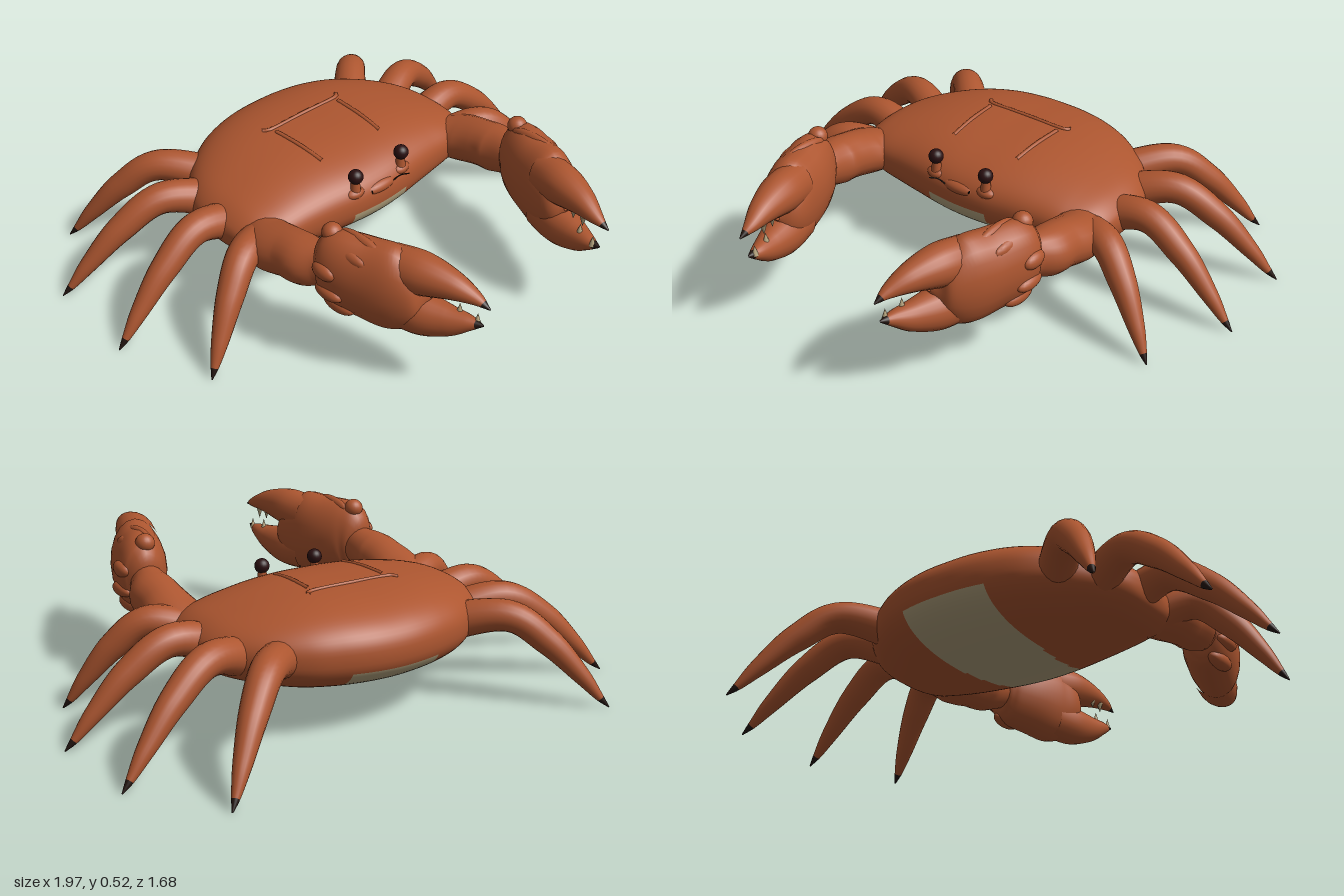
import * as THREE from 'three';

const V = (x, y, z) => new THREE.Vector3(x, y, z);
const spline = (pts) => new THREE.CatmullRomCurve3(pts, false, 'catmullrom', 0.5);
const material = (name, color) => Object.assign(new THREE.MeshStandardMaterial({ color }), { name });

// Joins closed rings of points into one smooth skin; pick(i, j) chooses the second colour.
function skin(rings, pick) {
  const n = rings[0].length;
  const faces = [[], []];
  for (let i = 0; i < rings.length - 1; i++) {
    for (let j = 0; j < n; j++) {
      const k = (j + 1) % n;
      const a = i * n + j, b = (i + 1) * n + j, c = i * n + k, d = (i + 1) * n + k;
      faces[pick(i, j) ? 1 : 0].push(a, b, c, b, d, c);
    }
  }
  const geo = new THREE.BufferGeometry().setFromPoints(rings.flat());
  geo.setIndex([...faces[0], ...faces[1]]);
  geo.addGroup(0, faces[0].length, 0);
  if (faces[1].length) geo.addGroup(faces[0].length, faces[1].length, 1);
  geo.computeVertexNormals();
  return geo;
}

// Lofts elliptical sections [x, y, z, halfWidth, halfHeight] along a smooth path.
function loft(stations, darkFrom = 2, steps = 40, sides = 20) {
  const path = spline(stations.map((s) => V(s[0], s[1], s[2])));
  const size = spline(stations.map((s) => V(s[3], s[4], 0)));
  const rings = [];
  for (let i = 0; i <= steps; i++) {
    const t = i / steps;
    const c = path.getPoint(t), r = size.getPoint(t), dir = path.getTangent(t);
    const right = V(0, 1, 0).cross(dir).negate().normalize();
    const up = right.clone().cross(dir);
    rings.push(Array.from({ length: sides }, (_, j) => {
      const a = (j / sides) * Math.PI * 2;
      return c.clone()
        .addScaledVector(right, Math.cos(a) * Math.max(r.x, 0.001))
        .addScaledVector(up, Math.sin(a) * Math.max(r.y, 0.001));
    }));
  }
  return skin(rings, (i) => (i + 0.5) / steps > darkFrom);
}

// Carapace half outline: x, front z, back z, top y, bottom y
const HALF = [
  [0, 0.08, -0.65, 0.45, 0.14], [0.1, 0.075, -0.643, 0.45, 0.142],
  [0.2, 0.06, -0.62, 0.445, 0.147], [0.3, 0.045, -0.58, 0.43, 0.158],
  [0.4, 0.03, -0.51, 0.405, 0.178], [0.48, 0.0, -0.42, 0.375, 0.2],
  [0.53, -0.06, -0.33, 0.335, 0.235], [0.55, -0.18, -0.2, 0.292, 0.284],
];
const OUTLINE = [...HALF.slice(1).reverse().map(([x, ...r]) => [-x, ...r]), ...HALF];
const plan = spline(OUTLINE.map((o) => V(o[0], o[1], o[2])));
const rise = spline(OUTLINE.map((o) => V(o[3], o[4], 0)));
const POWER = 2.4;

function bodySection(t) {
  const p = plan.getPoint(t), h = rise.getPoint(t);
  return { x: p.x, zc: (p.y + p.z) / 2, a: (p.y - p.z) / 2, yc: (h.x + h.y) / 2, b: (h.x - h.y) / 2 };
}

// Height of the carapace top near its middle
function topY(x, z) {
  const s = bodySection((7 + x / 0.1) / 14);
  const u = Math.min(1, Math.abs((z - s.zc) / s.a));
  return s.yc + s.b * Math.pow(1 - Math.pow(u, POWER), 1 / POWER);
}

function bodyGeometry() {
  const steps = 140, sides = 72, rings = [];
  const round = (v) => Math.sign(v) * Math.pow(Math.abs(v), 2 / POWER);
  for (let i = 0; i <= steps; i++) {
    const s = bodySection(i / steps);
    rings.push(Array.from({ length: sides }, (_, j) => {
      const a = (j / sides) * Math.PI * 2;
      return V(s.x, s.yc + s.b * round(Math.sin(a)), s.zc + s.a * round(Math.cos(a)));
    }));
  }
  // Pale belly strip, wider toward the back and wrapping up both ends
  return skin(rings, (i, j) => {
    const p = rings[i][j].clone().add(rings[i + 1][(j + 1) % sides]).multiplyScalar(0.5);
    const back = THREE.MathUtils.clamp((0.05 - p.z) / 0.4, 0, 1);
    return Math.abs(p.x) < 0.125 + 0.05 * back && p.y < 0.275 - 0.025 * back;
  });
}

export function createModel() {
  const shell = material('shell orange', 0xad5630);
  const cream = material('belly cream', 0xb5a47f);
  const dark = material('tip dark', 0x22140f);
  const eyeMat = material('eye dark red', 0x2a0f10);
  const crab = new THREE.Group();
  crab.name = 'crab';

  const add = (name, geo, mat, parent = crab) => {
    const mesh = new THREE.Mesh(geo, mat);
    mesh.name = name;
    parent.add(mesh);
    return mesh;
  };
  const ball = (name, mat, parent, pos, radii) => {
    const m = add(name, new THREE.SphereGeometry(1, 20, 14), mat, parent);
    m.position.set(...pos);
    m.scale.set(...radii);
    return m;
  };
  // Low ridge lying on the carapace, given as [x, z] points
  const ridge = (name, pts) => add(name, new THREE.TubeGeometry(
    spline(pts.map(([x, z]) => V(x, topY(x, z) - 0.001, z))), 24, 0.008, 8), shell);

  add('body', bodyGeometry(), [shell, cream]);
  ridge('shellCrossRidge', [[-0.18, -0.365], [-0.15, -0.345], [0, -0.345], [0.15, -0.345], [0.18, -0.365]]);
  ball('mouthLip', shell, crab, [0, 0.335, 0.055], [0.075, 0.024, 0.028]);

  // Walking legs, front to back: base, knee, tip
  const LEGS = [
    [[0.42, 0.27, -0.07], [0.58, 0.315, 0.005], [0.85, 0.01, 0.14]],
    [[0.42, 0.27, -0.20], [0.61, 0.32, -0.21], [0.985, 0.01, -0.19]],
    [[0.40, 0.27, -0.35], [0.59, 0.32, -0.43], [0.96, 0.01, -0.56]],
    [[0.30, 0.27, -0.42], [0.47, 0.32, -0.595], [0.74, 0.01, -0.84]],
  ];

  for (const s of [1, -1]) {
    const side = s > 0 ? 'left' : 'right';
    const flip = (st) => st.map(([x, ...r]) => [s * x, ...r]);
    ridge(side + 'ShellRidge', [[s * 0.15, -0.32], [s * 0.145, -0.2], [s * 0.14, -0.09]]);

    LEGS.forEach(([base, knee, tip], i) => {
      const k = V(...knee), e = V(...tip);
      const at = (t, lift, r) => {
        const p = k.clone().lerp(e, t);
        return [p.x, p.y + lift, p.z, r, r];
      };
      const stations = [[...base, 0.07, 0.07], [...knee, 0.058, 0.055],
        at(0.4, 0.04, 0.048), at(0.72, 0.025, 0.031), at(0.9, 0.006, 0.015), at(1, 0, 0.002)];
      add(`${side}Leg${i + 1}`, loft(flip(stations), 0.82), [shell, dark]);
    });

    // Claw: arm, palm and two fingers
    const claw = new THREE.Group();
    claw.name = side + 'Claw';
    crab.add(claw);
    const part = (name, stations, from) => add(name, loft(flip(stations), from), [shell, dark], claw);
    part('arm', [[0.40, 0.28, -0.12, 0.07, 0.06], [0.465, 0.30, 0.01, 0.1, 0.08],
      [0.47, 0.325, 0.12, 0.088, 0.085], [0.468, 0.335, 0.19, 0.088, 0.086],
      [0.455, 0.35, 0.26, 0.065, 0.075], [0.45, 0.36, 0.33, 0.05, 0.06]]);
    part('palm', [[0.46, 0.37, 0.25, 0.02, 0.03], [0.455, 0.375, 0.28, 0.068, 0.11],
      [0.445, 0.375, 0.33, 0.09, 0.142], [0.41, 0.365, 0.42, 0.1, 0.153],
      [0.375, 0.36, 0.52, 0.094, 0.16], [0.34, 0.365, 0.595, 0.07, 0.1],
      [0.33, 0.37, 0.63, 0.01, 0.01]]);
    part('upperFinger', [[0.365, 0.43, 0.5, 0.07, 0.08], [0.34, 0.445, 0.6, 0.07, 0.072],
      [0.315, 0.445, 0.7, 0.05, 0.049], [0.295, 0.43, 0.78, 0.026, 0.024],
      [0.288, 0.412, 0.84, 0.002, 0.002]], 0.87);
    part('lowerFinger', [[0.365, 0.29, 0.5, 0.07, 0.08], [0.34, 0.285, 0.6, 0.07, 0.076],
      [0.315, 0.295, 0.69, 0.05, 0.055], [0.295, 0.315, 0.76, 0.028, 0.028],
      [0.285, 0.33, 0.815, 0.002, 0.002]], 0.87);

    // Knobs and ridges on the palm: x, y, z, then radii
    [[0.445, 0.495, 0.295, 0.035, 0.034, 0.035], [0.415, 0.49, 0.4, 0.022, 0.034, 0.1],
      [0.465, 0.465, 0.38, 0.025, 0.03, 0.09], [0.52, 0.40, 0.335, 0.026, 0.03, 0.05],
      [0.515, 0.32, 0.35, 0.026, 0.026, 0.06], [0.48, 0.26, 0.36, 0.03, 0.03, 0.07],
    ].forEach(([x, y, z, ...r]) => ball('palmKnob', shell, claw, [s * x, y, z], r));

    // Teeth: x, y, z, direction
    [[0.285, 0.395, 0.735, -1], [0.295, 0.352, 0.72, 1], [0.282, 0.342, 0.785, 1],
      [0.29, 0.40, 0.69, -1]].forEach(([x, y, z, dir]) => {
      const tooth = add('tooth', new THREE.ConeGeometry(0.012, 0.04, 10), cream, claw);
      tooth.position.set(s * x, y, z);
      tooth.rotation.x = dir < 0 ? Math.PI : 0;
    });

    // Eye on its stalk, with socket and feeler
    ball(side + 'EyeSocket', shell, crab, [s * 0.11, 0.35, 0.04], [0.042, 0.022, 0.032]);
    const stalk = add(side + 'EyeStalk', new THREE.CylinderGeometry(0.014, 0.022, 0.08, 14), shell);
    stalk.position.set(s * 0.11, 0.375, 0.048);
    ball(side + 'Eye', eyeMat, crab, [s * 0.11, 0.42, 0.05], [0.027, 0.027, 0.027]);
    add(side + 'Feeler', new THREE.TubeGeometry(spline([V(s * 0.05, 0.335, 0.07),
      V(s * 0.07, 0.36, 0.09), V(s * 0.09, 0.37, 0.115)]), 12, 0.0025, 6), dark);
  }
  return crab;
}
